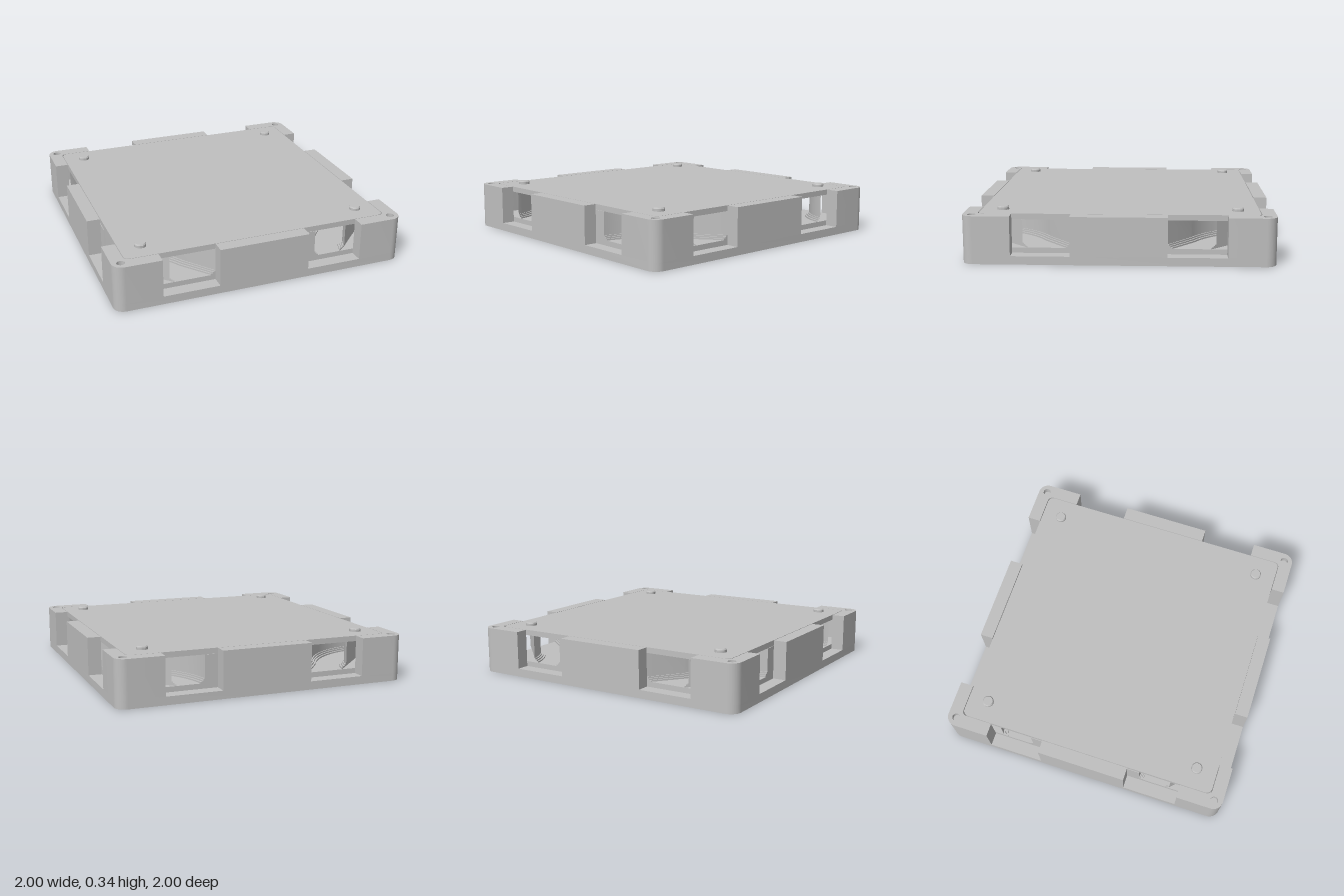
import * as THREE from 'three';
import { toCreasedNormals } from 'three/addons/utils/BufferGeometryUtils.js';

const gray = new THREE.MeshStandardMaterial({ color: 0xc0c0c0 });
gray.name = 'light gray';

const EDGE = 0.91; // inner face of the outer wall
const HOLE = 0.027;

export function createModel() {
  const model = new THREE.Group();

  const add = (name, geometry, x = 0, y = 0, z = 0, turn = 0) => {
    const mesh = new THREE.Mesh(geometry, gray);
    mesh.name = name;
    mesh.position.set(x, y, z);
    mesh.rotation.y = turn;
    model.add(mesh);
    return mesh;
  };

  // Flat outline (x, -z) raised from y0 to y1
  const slab = (shape, y0, y1) => {
    const g = new THREE.ExtrudeGeometry(shape, { depth: y1 - y0, bevelEnabled: false, curveSegments: 12 });
    g.rotateX(-Math.PI / 2);
    g.translate(0, y0, 0);
    return toCreasedNormals(g, 0.5);
  };

  const roundedSquare = (h, r) => {
    const s = new THREE.Shape();
    for (let k = 0; k < 4; k++) {
      const a = (k * Math.PI) / 2;
      const mid = a + Math.PI / 4;
      const d = (h - r) * Math.SQRT2;
      s.absarc(d * Math.cos(mid), d * Math.sin(mid), r, a, a + Math.PI / 2, false);
    }
    s.closePath();
    return s;
  };

  const punch = (shape, x, y) => {
    shape.holes.push(new THREE.Path().absarc(x, y, HOLE, 0, Math.PI * 2, true));
  };

  // Base plate with blind holes in the corners, mid edges and centre
  const base = roundedSquare(1, 0.07);
  for (const i of [-1, 1]) {
    for (const j of [-1, 1]) {
      punch(base, i * 0.94, j * 0.94);
      punch(base, i * 0.1, j * 0.1);
      punch(base, i * 0.1, j * 0.94);
      punch(base, i * 0.94, j * 0.1);
    }
  }
  add('basePlate', slab(base, 0, 0.055));

  // Channel floor
  add('channelFloor', new THREE.BoxGeometry(2 * EDGE, 0.035, 2 * EDGE), 0, 0.0725, 0);

  // Corner post with a blind hole on top
  const post = new THREE.Shape();
  post.moveTo(EDGE, 0.69);
  post.lineTo(1, 0.69);
  post.absarc(0.93, 0.93, 0.07, 0, Math.PI / 2, false);
  post.lineTo(0.69, 1);
  post.lineTo(0.69, EDGE);
  post.lineTo(0.87, EDGE);
  post.quadraticCurveTo(EDGE, EDGE, EDGE, 0.87);
  post.closePath();
  punch(post, 0.94, 0.94);
  const postGeometry = slab(post, 0.055, 0.312);
  const plugGeometry = new THREE.CylinderGeometry(HOLE, HOLE, 0.215, 24);
  const wallGeometry = new THREE.BoxGeometry(0.62, 0.257, 1 - EDGE);

  for (let k = 0; k < 4; k++) {
    const turn = (k * Math.PI) / 2;
    const c = Math.round(Math.cos(turn));
    const s = Math.round(Math.sin(turn));
    add('cornerPost', postGeometry, 0, 0, 0, turn);
    add('cornerHoleFloor', plugGeometry, 0.94 * (c - s), 0.1625, -0.94 * (s + c));
    add('sideWall', wallGeometry, s * 0.955, 0.1835, c * 0.955, turn);
  }

  // Curved channels are the gaps between these blocks
  const cornerBlock = (grow) => {
    const r = 0.39 + grow;
    const a = Math.asin((1 - EDGE) / r);
    const s = new THREE.Shape();
    s.moveTo(EDGE, EDGE);
    s.absarc(1, 1, r, -Math.PI + a, -Math.PI / 2 - a, false);
    s.closePath();
    return s;
  };

  // Centre block; some channel mouths flare toward the middle of a side
  const flareStart = [true, true, false, false];
  const flareEnd = [false, false, true, true];
  const centreBlock = (grow) => {
    const r = 0.61 - grow;
    const tight = Math.asin((1 - EDGE) / r);
    const points = [];
    for (let k = 0; k < 4; k++) {
      const local = [];
      const a0 = flareStart[k] ? 0.5 : tight;
      const a1 = flareEnd[k] ? 0.5 : tight;
      if (flareStart[k]) local.push(new THREE.Vector2(EDGE, 0.31 + grow));
      for (let i = 0; i <= 20; i++) {
        const t = THREE.MathUtils.lerp(-Math.PI / 2 - a0, -Math.PI + a1, i / 20);
        local.push(new THREE.Vector2(1 + r * Math.cos(t), 1 + r * Math.sin(t)));
      }
      if (flareEnd[k]) local.push(new THREE.Vector2(0.31 + grow, EDGE));
      const origin = new THREE.Vector2();
      for (const p of local) points.push(p.rotateAround(origin, (k * Math.PI) / 2));
    }
    return new THREE.Shape(points);
  };

  // Small steps ease the lower edges of the channels
  const layers = [[0.03, 0.09, 0.1], [0.018, 0.1, 0.11], [0.008, 0.11, 0.12], [0, 0.12, 0.275]];
  for (const [grow, y0, y1] of layers) {
    add('centreBlock', slab(centreBlock(grow), y0, y1));
    const g = slab(cornerBlock(grow), y0, y1);
    for (let k = 0; k < 4; k++) add('cornerBlock', g, 0, 0, 0, (k * Math.PI) / 2);
  }

  // Lid with four pins
  add('lid', slab(roundedSquare(0.906, 0.04), 0.275, 0.312));
  const pin = new THREE.LatheGeometry(
    [[0.038, 0], [0.038, 0.016], [0.032, 0.024], [0, 0.024]].map(([x, y]) => new THREE.Vector2(x, y)), 32);
  const pinGeometry = toCreasedNormals(pin, 0.5);
  for (const x of [-0.765, 0.765]) {
    for (const z of [-0.765, 0.765]) add('lidPin', pinGeometry, x, 0.312, z);
  }

  return model;
}
